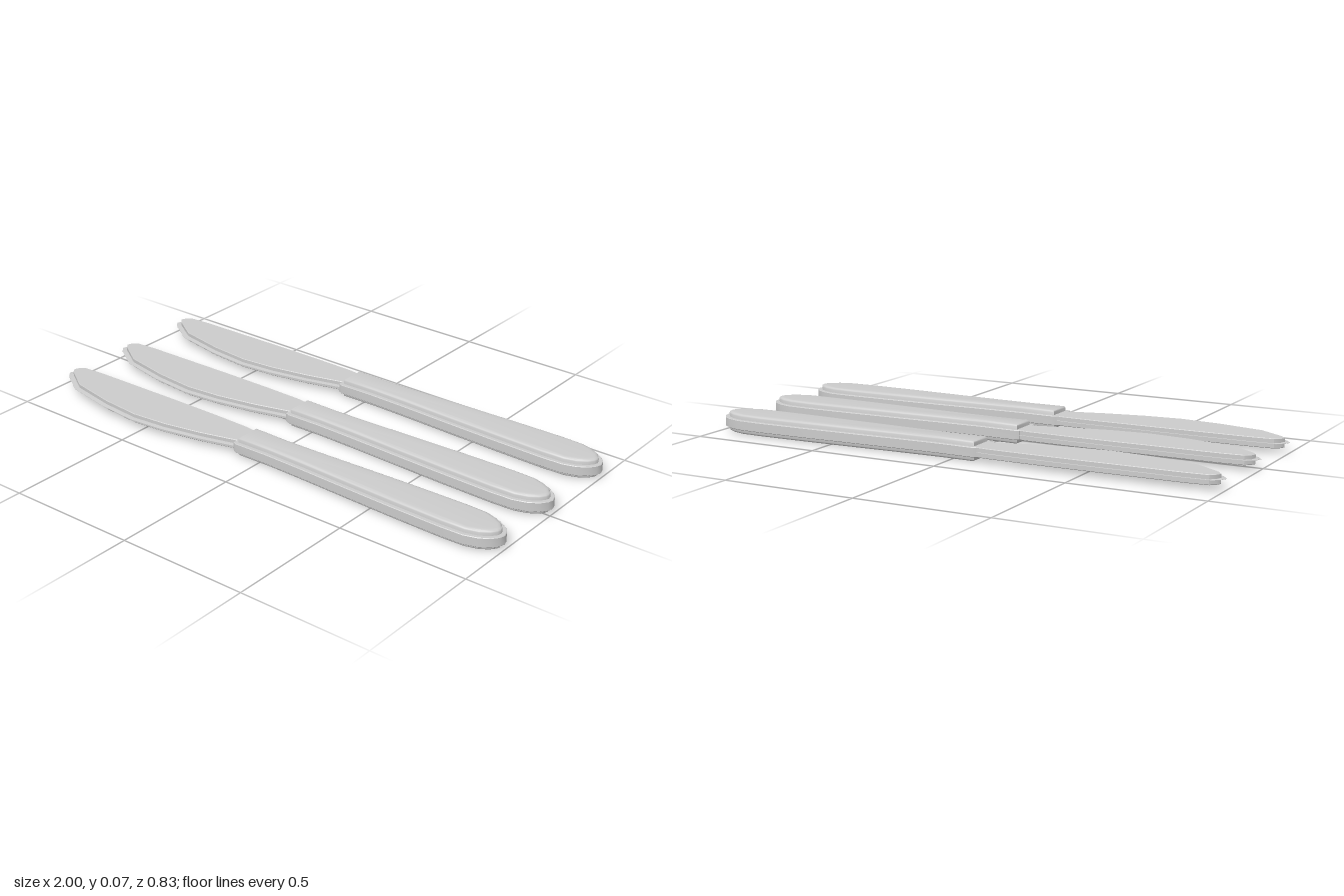
import * as THREE from 'three';
import { toCreasedNormals } from 'three/addons/utils/BufferGeometryUtils.js';

const material = new THREE.MeshStandardMaterial({ color: 0xcccccc });
const MID = 0.0375; // height of the knives' middle plane

// Slab lying flat: outline of [x, z] points, inset from its edge, with bevelled rims
function slab(name, outline, { height, inset = 0, bevelIn, bevelUp, segments = 1, crease = 0.6 }) {
  const shape = new THREE.Shape(outline.map(([x, z]) => new THREE.Vector2(x, -z)));
  const g = new THREE.ExtrudeGeometry(shape, {
    depth: height - 2 * bevelUp,
    bevelEnabled: true,
    bevelThickness: bevelUp,
    bevelSize: bevelIn,
    bevelOffset: -inset - bevelIn,
    bevelSegments: segments,
  });
  g.translate(0, 0, bevelUp - height / 2);
  g.rotateX(-Math.PI / 2);
  const mesh = new THREE.Mesh(toCreasedNormals(g, crease), material);
  mesh.name = name;
  mesh.position.y = MID;
  return mesh;
}

// Handle outline: narrow neck, wide rounded end, mirrored about its own axis
function handleOutline() {
  const axis = -0.014;
  const half = [[-0.105, 0.058], [-0.09, 0.065], [0.05, 0.062], [0.2, 0.066], [0.4, 0.074],
    [0.6, 0.081], [0.8, 0.085], [0.89, 0.082], [0.94, 0.067], [0.975, 0.045], [0.994, 0.02], [1, 0]];
  const front = half.map(([x, w]) => [x, axis + w]);
  const back = half.slice(0, -1).reverse().map(([x, w]) => [x, axis - w]);
  return [...front, ...back];
}

// Blade outline: curved cutting edge at the front, nearly straight spine at the back
const bladeOutline = [
  [-1, -0.02], [-0.98, 0.005], [-0.88, 0.07], [-0.7, 0.106], [-0.54, 0.121], [-0.4, 0.108],
  [-0.25, 0.079], [-0.09, 0.037], [-0.09, -0.072], [-0.15, -0.079], [-0.3, -0.081],
  [-0.5, -0.08], [-0.88, -0.073], [-0.965, -0.066], [-0.99, -0.045],
];

function knife() {
  const group = new THREE.Group();
  const handle = handleOutline();
  group.add(slab('handleBand', handle, { height: 0.036, bevelIn: 0.002, bevelUp: 0.002 }));
  group.add(slab('handleBody', handle,
    { height: 0.074, inset: 0.015, bevelIn: 0.014, bevelUp: 0.008, segments: 3, crease: 0.9 }));
  group.add(slab('cuttingEdge', bladeOutline, { height: 0.006, bevelIn: 0.014, bevelUp: 0.0025 }));
  // The plate sits closer to the spine, leaving the sharp edge exposed in front
  const plate = slab('bladePlate', bladeOutline,
    { height: 0.036, inset: 0.01, bevelIn: 0.002, bevelUp: 0.002 });
  plate.position.x = 0.006;
  plate.position.z = -0.006;
  group.add(plate);
  return group;
}

export function createModel() {
  const model = new THREE.Group();
  model.name = 'tableKnives';
  [['frontKnife', 0.293], ['middleKnife', 0], ['backKnife', -0.317]].forEach(([name, z]) => {
    const k = knife();
    k.name = name;
    k.position.z = z;
    model.add(k);
  });
  return model;
}
